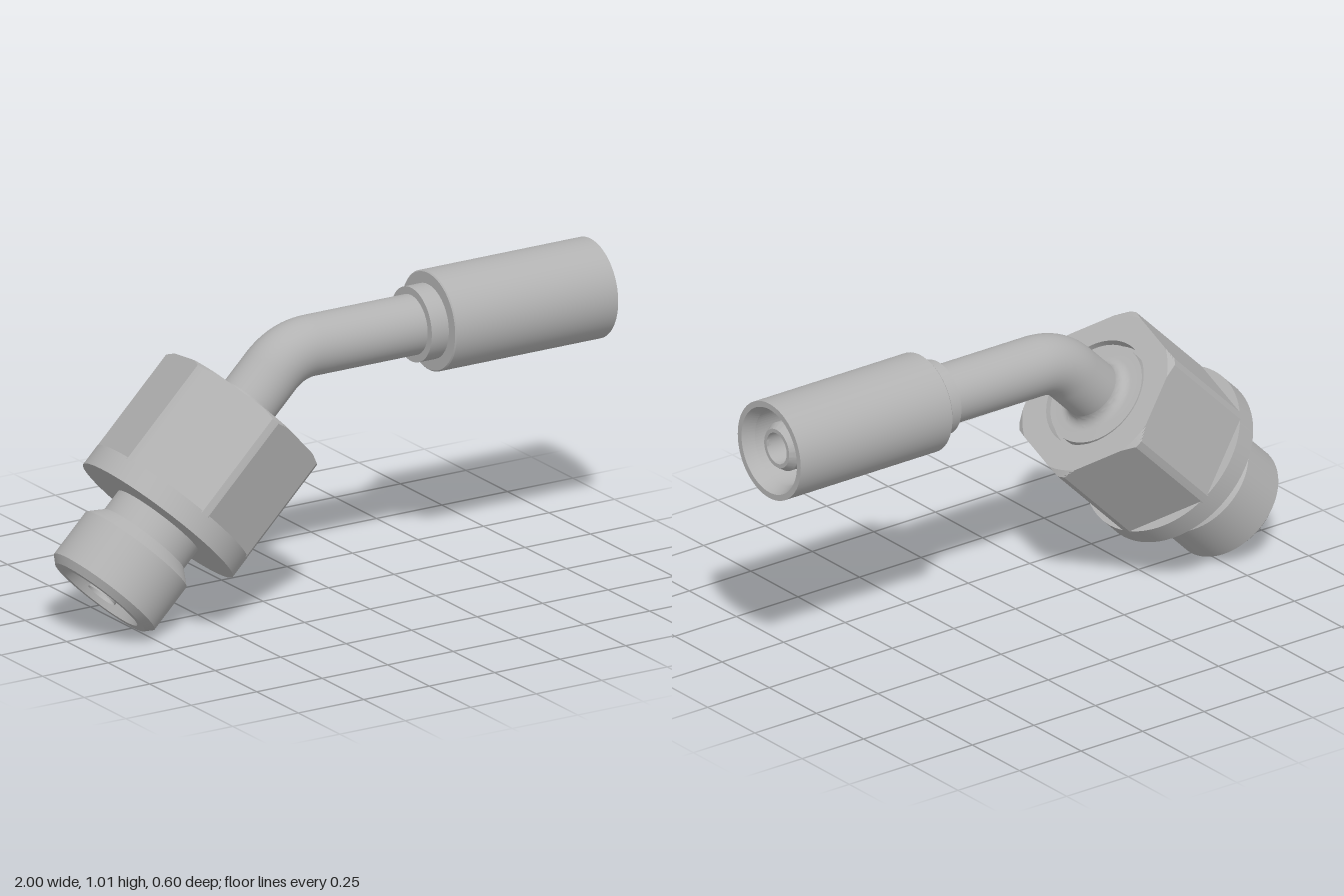
import * as THREE from 'three';
import { toCreasedNormals } from 'three/addons/utils/BufferGeometryUtils.js';

const steel = new THREE.MeshStandardMaterial({ color: 0xb2b2b2, side: THREE.DoubleSide });
steel.name = 'steel';

function part(name, geometry) {
  const mesh = new THREE.Mesh(geometry, steel);
  mesh.name = name;
  return mesh;
}

// Turned part about y; profile points are [radius, height]
function turned(name, profile) {
  const points = profile.map(([r, y]) => new THREE.Vector2(r, y));
  return part(name, toCreasedNormals(new THREE.LatheGeometry(points, 72), 0.45));
}

// Hexagon clipped by a round profile, which rounds its corners and bevels its top
function hexNut() {
  const R = 0.303, flat = R * Math.cos(THREE.MathUtils.degToRad(27.5));
  const bevel = [0.303, 0.298, 0.293, 0.288, 0.283];
  const rings = [[R, -0.145], ...bevel.map((r, i) => [r, 0.238 + i * 0.003]), [0.19, 0.25], [0.19, 0.2]];
  const half = [0.1, 0.2, ...bevel.map((r) => Math.acos(flat / r)).reverse()];
  const sector = [-Math.PI / 6, ...half.map((a) => -a).reverse(), 0, ...half];
  const n = sector.length * 6, positions = [], index = [];
  for (const [r, y] of rings) {
    for (let k = 0; k < 6; k++) {
      for (const a of sector) {
        const rad = Math.min(r, flat / Math.cos(a));
        const phi = a + (k * 60 + 15) * Math.PI / 180;
        positions.push(rad * Math.sin(phi), y, rad * Math.cos(phi));
      }
    }
  }
  for (let j = 0; j < rings.length - 1; j++) {
    for (let i = 0; i < n; i++) {
      const a = j * n + i, b = j * n + (i + 1) % n;
      index.push(a, b, a + n, b, b + n, a + n);
    }
  }
  const g = new THREE.BufferGeometry();
  g.setAttribute('position', new THREE.Float32BufferAttribute(positions, 3));
  g.setIndex(index);
  return part('hexNut', toCreasedNormals(g, 0.3));
}

// Path of the bent pipe: sloped run, 45 degree bend, level run
const bend = new THREE.Vector3(-0.16, 0.84, 0);
function pipePath(slopeLength, endX) {
  const slope = new THREE.Vector3(-Math.SQRT1_2, -Math.SQRT1_2, 0);
  const a = bend.clone().addScaledVector(slope, slopeLength);
  const b = bend.clone().addScaledVector(slope, 0.088);
  const c = bend.clone().add(new THREE.Vector3(0.088, 0, 0));
  const path = new THREE.CurvePath();
  path.add(new THREE.LineCurve3(a, b));
  path.add(new THREE.QuadraticBezierCurve3(b, bend, c));
  path.add(new THREE.LineCurve3(c, new THREE.Vector3(endX, 0.84, 0)));
  return path;
}

export function createModel() {
  const model = new THREE.Group();
  model.name = 'angledHoseFitting';

  // Sloped swivel end, its axis leaning 45 degrees
  const swivel = new THREE.Group();
  swivel.name = 'swivelEnd';
  swivel.position.set(-0.5, 0.5, 0);
  swivel.rotation.z = -Math.PI / 4;
  model.add(swivel);

  swivel.add(hexNut());
  swivel.add(turned('flange', [[0.16, -0.214], [0.302, -0.214], [0.302, -0.138], [0.19, -0.138]]));
  swivel.add(turned('threadedSpigot', [
    [0.053, -0.3], [0.08, -0.38], [0.15, -0.527], [0.18, -0.527], [0.203, -0.504],
    [0.203, -0.332], [0.16, -0.29], [0.16, -0.21],
  ]));

  // Seat inside the nut with a fillet up to the pipe
  const fillet = [];
  for (let i = 0; i <= 6; i++) {
    const a = (i / 6) * Math.PI / 2;
    fillet.push([0.135 - 0.035 * Math.sin(a), 0.278 - 0.035 * Math.cos(a)]);
  }
  swivel.add(turned('pipeSeat', [[0.19, 0.21], [0.178, 0.21], [0.178, 0.243], ...fillet]));

  // Bent pipe and its bore
  model.add(part('bentPipe', new THREE.TubeGeometry(pipePath(0.52, 0.34), 80, 0.1, 48)));
  model.add(part('pipeBore', new THREE.TubeGeometry(pipePath(1.0, 0.96), 110, 0.053, 40)));

  // Level hose end
  const hoseEnd = new THREE.Group();
  hoseEnd.name = 'hoseEnd';
  hoseEnd.position.y = 0.84;
  hoseEnd.rotation.z = -Math.PI / 2;
  model.add(hoseEnd);

  hoseEnd.add(turned('collar', [[0.1, 0.315], [0.125, 0.315], [0.125, 0.39]]));
  hoseEnd.add(turned('ferrule', [
    [0.12, 0.38], [0.163, 0.38], [0.167, 0.384], [0.167, 1], [0.147, 1],
    [0.128, 0.96], [0.128, 0.5], [0.08, 0.5],
  ]));
  hoseEnd.add(turned('hoseNipple', [[0.082, 0.48], [0.082, 0.945], [0.066, 0.97], [0.053, 0.97], [0.053, 0.95]]));

  return model;
}
